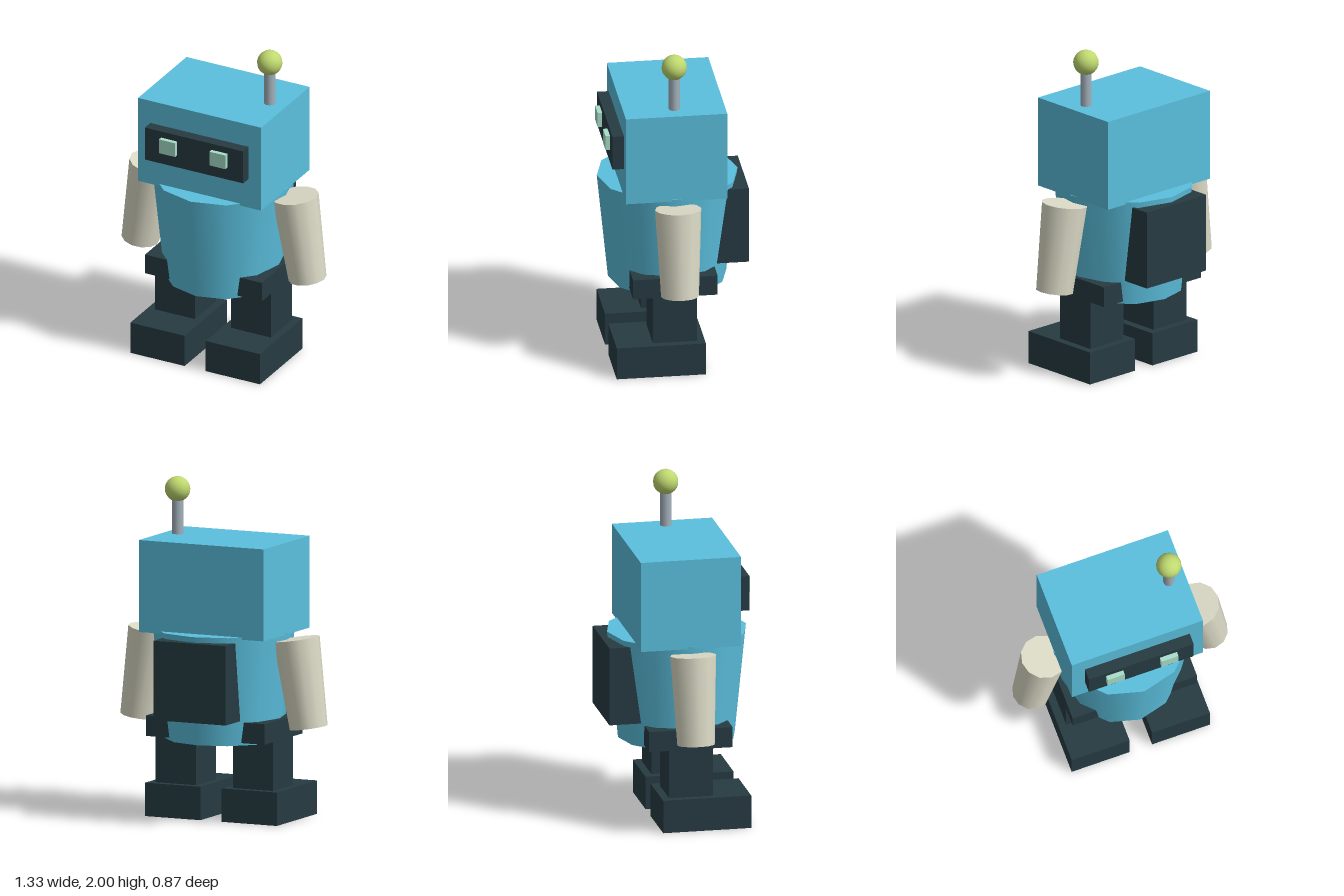
import * as THREE from 'three';

const paint = (name, color) => {
  const m = new THREE.MeshStandardMaterial({ color });
  m.name = name;
  return m;
};

export function createModel() {
  const blue = paint('shellBlue', 0x5bc0de);
  const dark = paint('darkSlate', 0x263b42);
  const cream = paint('armCream', 0xdddcc8);
  const mint = paint('eyeMint', 0xa8dec9);
  const grey = paint('rodGrey', 0xa3b1bb);
  const lime = paint('ballLime', 0xc0d970);

  const robot = new THREE.Group();
  robot.name = 'robot';
  const midZ = 0.015;

  const add = (name, geometry, material, x, y, z) => {
    const mesh = new THREE.Mesh(geometry, material);
    mesh.name = name;
    mesh.position.set(x, y, z);
    robot.add(mesh);
    return mesh;
  };
  // Box given by its limits on each axis
  const box = (name, material, [x0, x1], [y0, y1], [z0, z1]) =>
    add(name, new THREE.BoxGeometry(x1 - x0, y1 - y0, z1 - z0), material,
      (x0 + x1) / 2, (y0 + y1) / 2, (z0 + z1) / 2);

  // Tapered twelve-sided body
  add('body', new THREE.CylinderGeometry(0.416, 0.35, 0.65, 12), blue, 0, 0.798, midZ);

  // Head, visor and backpack
  box('head', blue, [-0.41, 0.408], [1.11, 1.655], [-0.285, 0.315]);
  box('visor', dark, [-0.328, 0.325], [1.3, 1.51], [0.3, 0.383]);
  box('backpack', dark, [-0.237, 0.237], [0.62, 1.09], [-0.436, -0.2]);

  // Antenna on the left of the head
  add('antennaRod', new THREE.CylinderGeometry(0.034, 0.034, 0.23, 12), grey, 0.304, 1.775, midZ);
  add('antennaBall', new THREE.SphereGeometry(0.075, 16, 12), lime, 0.304, 1.925, midZ);

  // Paired parts
  for (const [side, s] of [['left', 1], ['right', -1]]) {
    const span = (a, b) => (s > 0 ? [a, b] : [-b, -a]);
    box(side + 'Eye', mint, span(0.114, 0.221), [1.38, 1.47], [0.37, 0.41]);
    box(side + 'Hip', dark, span(0.12, 0.388), [0.488, 0.61], [-0.23, 0.27]);
    box(side + 'Leg', dark, span(0.12, 0.385), [0.19, 0.5], [-0.11, 0.152]);
    box(side + 'Foot', dark, span(0.07, 0.431), [0, 0.198], [-0.155, 0.372]);

    // Arm tapers downward and swings outward
    const arm = add(side + 'Arm', new THREE.CylinderGeometry(0.137, 0.112, 0.528, 12), cream,
      s * 0.515, 0.829, midZ);
    arm.rotation.z = s * 0.152;
  }
  return robot;
}
